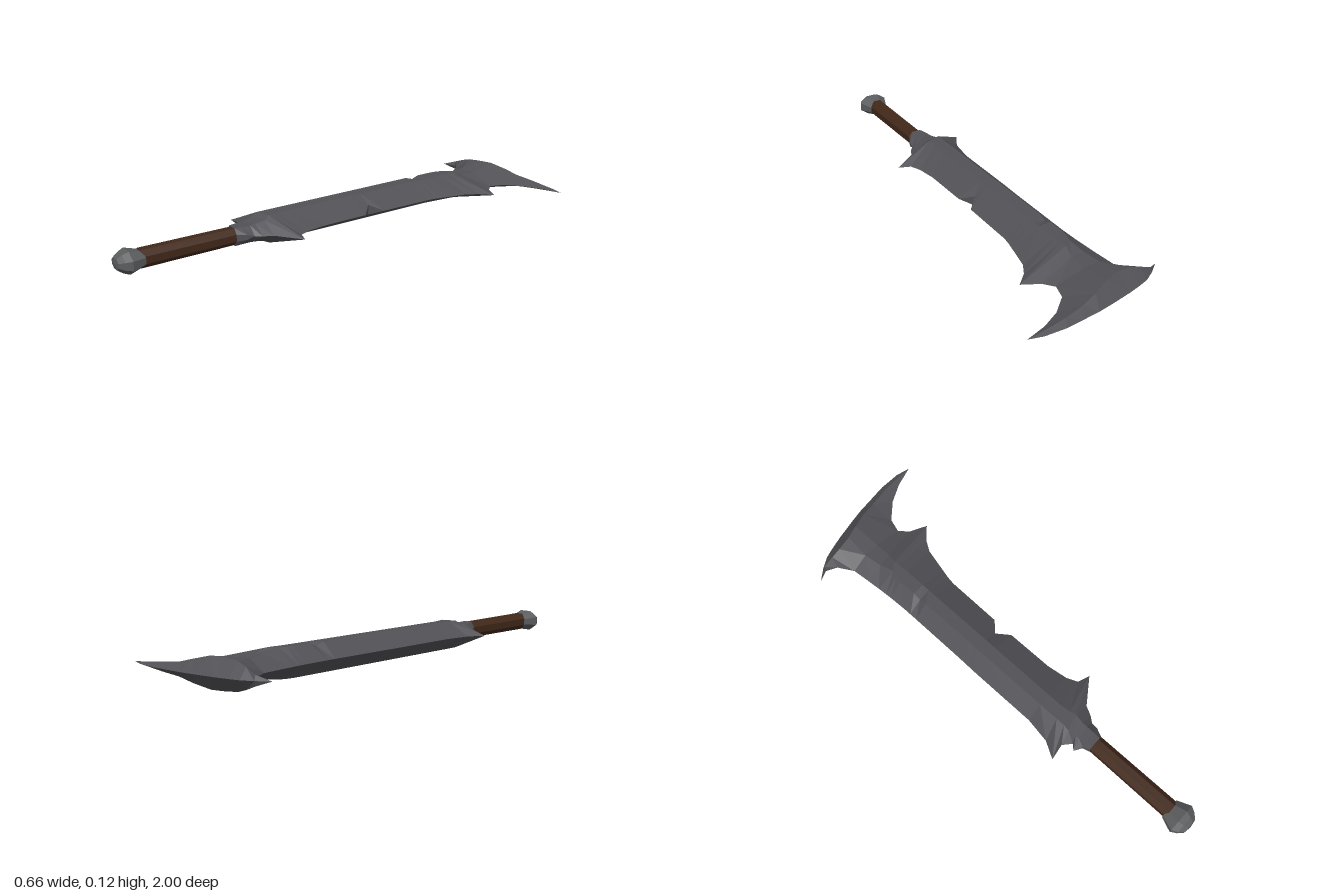
import * as THREE from 'three';

const MID = 0.061; // height of the cutting plane
const GRIP_X = -0.068;

const steel = new THREE.MeshStandardMaterial({ color: 0x515156, flatShading: true });
steel.name = 'dark steel';
const leather = new THREE.MeshStandardMaterial({ color: 0x41281a, flatShading: true });
leather.name = 'brown grip';
const iron = new THREE.MeshStandardMaterial({ color: 0x5a5c5e, flatShading: true });
iron.name = 'pommel iron';

// Lofts rows of [x, z, half height above, half height below] into a closed two-sided shell
function plate(name, rows) {
  const pos = [];
  const top = ([x, z, h = 0]) => [x, MID + h, z];
  const low = ([x, z, h = 0, b = h]) => [x, MID - b, z];
  const quad = (a, b, c, d) => pos.push(...a, ...b, ...c, ...a, ...c, ...d);
  const last = rows[0].length - 1;
  for (let i = 0; i < rows.length - 1; i++) {
    const r = rows[i], s = rows[i + 1];
    for (let j = 0; j < last; j++) {
      quad(top(r[j]), top(r[j + 1]), top(s[j + 1]), top(s[j]));
      quad(low(r[j]), low(s[j]), low(s[j + 1]), low(r[j + 1]));
    }
    // walls where an edge is blunt
    quad(low(r[0]), top(r[0]), top(s[0]), low(s[0]));
    quad(top(r[last]), low(r[last]), low(s[last]), top(s[last]));
  }
  // end caps
  const a = rows[0], z = rows[rows.length - 1];
  for (let j = 0; j < last; j++) {
    quad(low(a[j]), low(a[j + 1]), top(a[j + 1]), top(a[j]));
    quad(low(z[j + 1]), low(z[j]), top(z[j]), top(z[j + 1]));
  }
  const g = new THREE.BufferGeometry();
  g.setAttribute('position', new THREE.Float32BufferAttribute(pos, 3));
  g.computeVertexNormals();
  const m = new THREE.Mesh(g, steel);
  m.name = name;
  return m;
}

// Solid of revolution along z, squashed in height
function turned(name, profile, sides, squash, material) {
  const g = new THREE.LatheGeometry(profile.map(([r, z]) => new THREE.Vector2(r, z)), sides);
  g.rotateY(Math.PI / sides);
  g.rotateX(Math.PI / 2);
  g.scale(1, squash, 1);
  const m = new THREE.Mesh(g, material);
  m.name = name;
  m.position.set(GRIP_X, MID, 0);
  return m;
}

export function createModel() {
  const model = new THREE.Group();
  model.name = 'sword';

  // Each row: left edge, ridge, shoulder, right edge
  const guard = [
    [[-0.105, 0.5, 0.015], [-0.09, 0.5, 0.038], [-0.048, 0.5, 0.038], [-0.033, 0.5, 0.015]],
    [[-0.115, 0.47, 0.01], [-0.1, 0.47, 0.036], [-0.045, 0.47, 0.036], [-0.015, 0.46, 0.01]],
    [[-0.15, 0.452], [-0.105, 0.44, 0.036], [-0.045, 0.43, 0.036], [-0.01, 0.43]],
    [[-0.13, 0.43], [-0.105, 0.42, 0.038], [-0.045, 0.405, 0.038], [0.01, 0.405]],
    [[-0.165, 0.4], [-0.11, 0.385, 0.045], [-0.04, 0.365, 0.045], [0.03, 0.365]],
    [[-0.235, 0.412], [-0.11, 0.36, 0.06], [-0.05, 0.34, 0.06], [0.137, 0.287]],
  ];
  const straight = (z, left, right, notch = 0.06) =>
    [[left, z], [-0.11, z, notch, 0.06], [-0.055, z, 0.058], right];
  const blade = [
    guard[guard.length - 1],
    [[-0.195, 0.34], [-0.11, 0.32, 0.06], [-0.055, 0.3, 0.058], [0.085, 0.268]],
    straight(0.23, -0.178, [0.065, 0.22]),
    straight(0.13, -0.178, [0.052, 0.13]),
    straight(-0.08, -0.178, [0.05, -0.08]),
    straight(-0.13, -0.177, [0.002, -0.13, 0.022]), // chipped edge
    straight(-0.18, -0.176, [0.052, -0.18]),
    straight(-0.43, -0.175, [0.055, -0.43]),
    straight(-0.465, -0.175, [0.06, -0.465], 0.046), // nick in the ridge
    straight(-0.5, -0.175, [0.068, -0.5]),
    [[-0.178, -0.58], [-0.11, -0.58, 0.06], [-0.055, -0.6, 0.058], [0.095, -0.615]],
    [[-0.18, -0.61], [-0.105, -0.61, 0.06], [-0.058, -0.64, 0.06], [0.125, -0.665]],
    [[-0.183, -0.65], [-0.095, -0.64, 0.06], [-0.06, -0.668, 0.06], [0.177, -0.713]],
    [[-0.188, -0.71], [-0.11, -0.71, 0.042], [-0.05, -0.715, 0.042], [0.105, -0.75]],
    [[-0.196, -0.79], [-0.12, -0.79, 0.042], [-0.05, -0.79, 0.038], [0.072, -0.79]],
  ];

  // Each row: outer edge, ridge, inner edge, running from the left tip to the right tip
  const head = [
    [[-0.33, -0.862], [-0.33, -0.862], [-0.33, -0.862]],
    [[-0.28, -0.9], [-0.277, -0.892, 0.02], [-0.275, -0.884]],
    [[-0.235, -0.926], [-0.225, -0.89, 0.04], [-0.235, -0.857]],
    [[-0.19, -0.94], [-0.18, -0.89, 0.054], [-0.196, -0.79]],
    [[-0.13, -0.955], [-0.115, -0.897, 0.061], [-0.12, -0.79, 0.042]],
    [[-0.04, -0.973], [-0.055, -0.915, 0.061], [-0.05, -0.79, 0.038]],
    [[0.03, -0.985], [0.015, -0.94, 0.044], [0.072, -0.79]],
    [[0.1, -0.992], [0.08, -0.955, 0.027], [0.09, -0.85]],
    [[0.18, -1], [0.165, -0.97, 0.018], [0.16, -0.912]],
    [[0.27, -0.996], [0.25, -0.978, 0.009], [0.24, -0.953]],
    [[0.33, -0.98], [0.33, -0.98], [0.33, -0.98]],
  ];
  model.add(plate('guard', guard), plate('blade', blade), plate('crescentHead', head));

  // Grip and pommel
  model.add(turned('grip', [[0, 0.49], [0.038, 0.49], [0.04, 0.9], [0, 0.9]].reverse(), 8, 1, leather));
  model.add(turned('pommel',
    [[0, 1], [0.035, 0.995], [0.056, 0.975], [0.071, 0.95], [0.046, 0.89], [0, 0.89]], 8, 0.7, iron));
  model.children.slice(-2).forEach((m) => {
    // keep the turned faces pointing outward
    m.geometry.index.array.reverse();
    m.geometry.computeVertexNormals();
  });
  return model;
}
